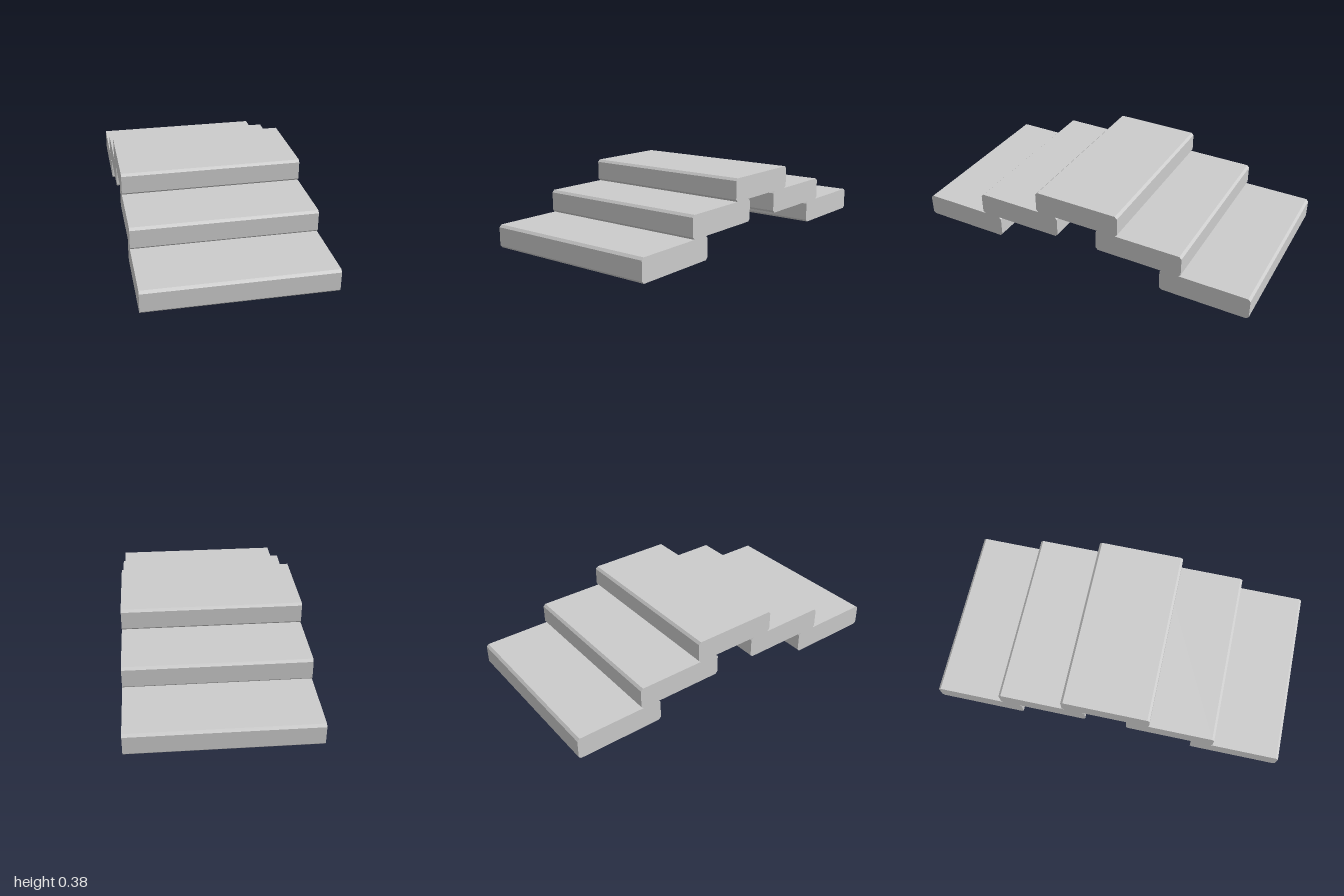
import * as THREE from 'three';

const WIDTH = 1, DEPTH = 0.5, HEIGHT = 0.126, BEVEL = 0.013;

// Plank with its four long edges chamfered, running along x
function plankGeometry() {
  const d = DEPTH / 2, h = HEIGHT / 2, b = BEVEL;
  const profile = new THREE.Shape([
    [d - b, -h], [d, -h + b], [d, h - b], [d - b, h],
    [-d + b, h], [-d, h - b], [-d, -h + b], [-d + b, -h],
  ].map(([x, y]) => new THREE.Vector2(x, y)));
  const geometry = new THREE.ExtrudeGeometry(profile, { depth: WIDTH, bevelEnabled: false });
  geometry.translate(0, 0, -WIDTH / 2);
  geometry.rotateY(-Math.PI / 2);
  return geometry;
}

export function createModel() {
  const group = new THREE.Group();
  group.name = 'steppedBridge';
  const material = new THREE.MeshStandardMaterial({ color: 0xcccccc, flatShading: true });
  const geometry = plankGeometry();

  const addPlank = (name, level, z) => {
    const plank = new THREE.Mesh(geometry, material);
    plank.name = name;
    plank.position.set(0, HEIGHT * (level + 0.5), z);
    group.add(plank);
  };

  // Steps mirrored front and back, meeting at the top plank
  for (const [side, sign] of [['front', 1], ['back', -1]]) {
    addPlank(side + 'LowerStep', 0, sign * 0.75);
    addPlank(side + 'MiddleStep', 1, sign * 0.37);
  }
  addPlank('topStep', 2, 0);

  return group;
}
